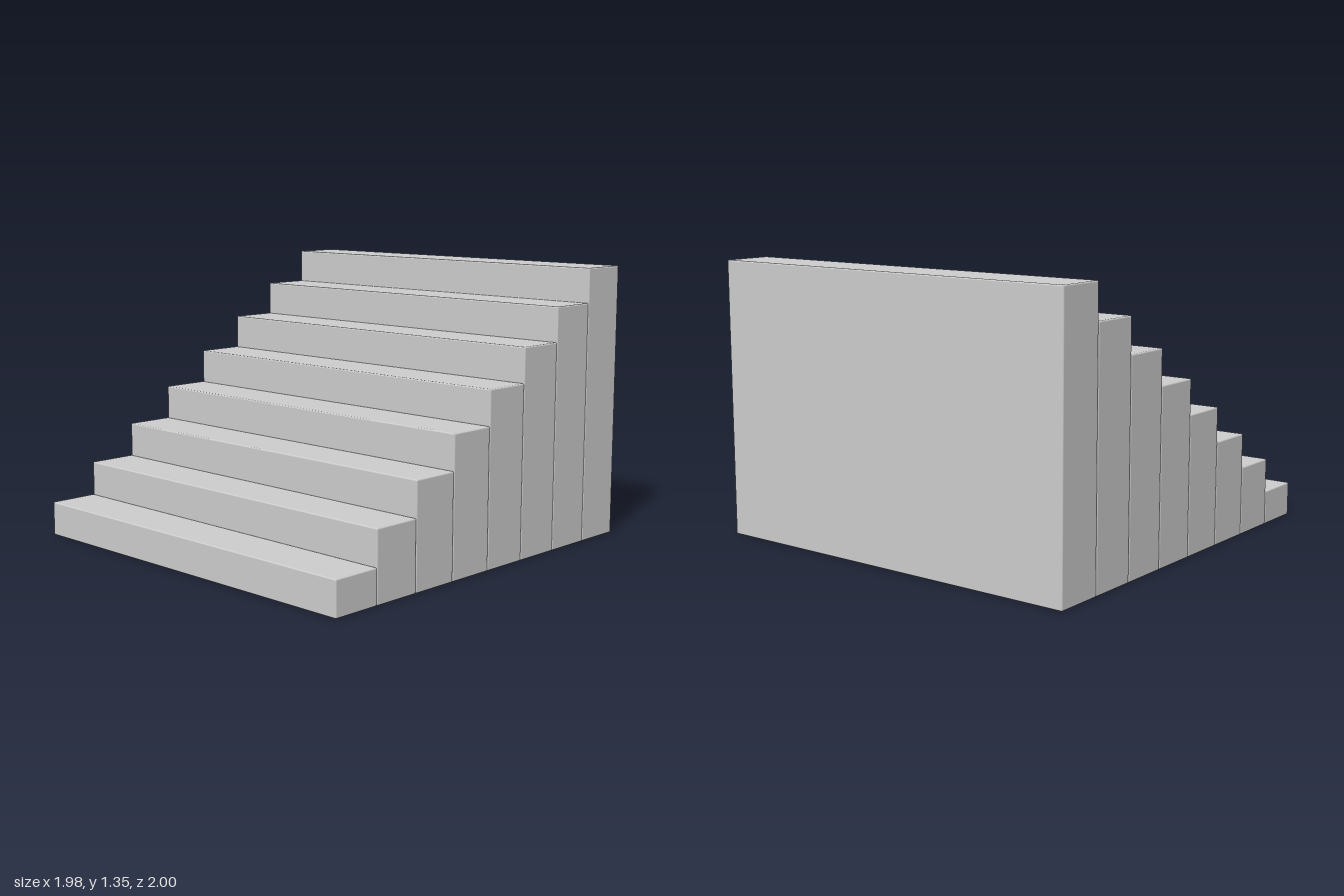
import * as THREE from 'three';
import { RoundedBoxGeometry } from 'three/addons/geometries/RoundedBoxGeometry.js';

const STEPS = 8;
const WIDTH = 1.98;
const DEPTH = 0.25;
const RISE = 1.35 / STEPS;
const EDGE = 0.007;

export function createModel() {
  const stairs = new THREE.Group();
  stairs.name = 'stairs';
  const material = new THREE.MeshStandardMaterial({ color: 0xcccccc });

  // Solid slabs side by side, each one riser taller than the one in front
  for (let i = 0; i < STEPS; i++) {
    const height = RISE * (i + 1);
    const step = new THREE.Mesh(new RoundedBoxGeometry(WIDTH, height, DEPTH, 2, EDGE), material);
    step.name = `step${i + 1}`;
    step.position.set(0, height / 2, 1 - DEPTH * (i + 0.5));
    stairs.add(step);
  }
  return stairs;
}
